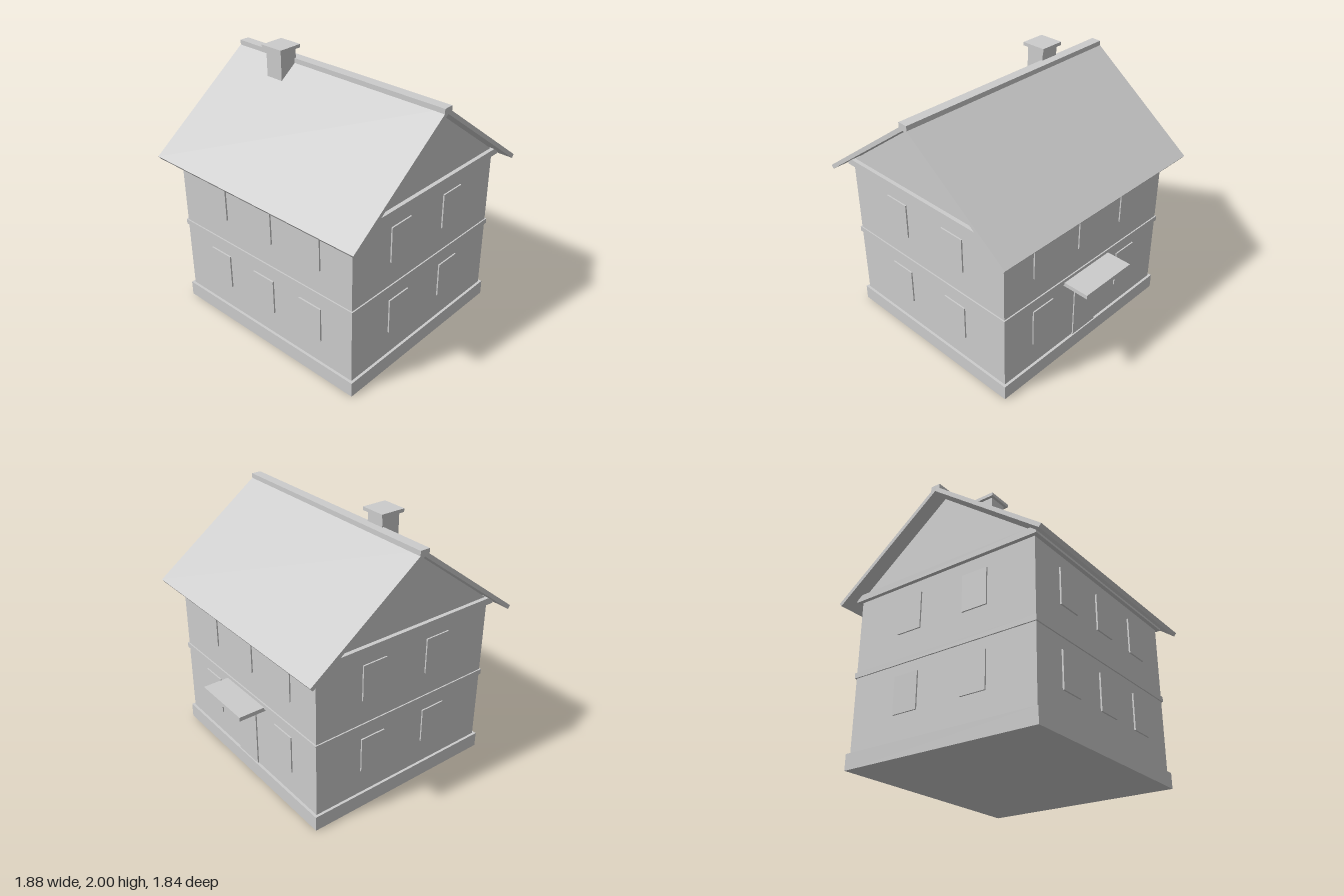
import * as THREE from 'three';

export function createModel() {
  const house = new THREE.Group();
  house.name = 'house';
  const plaster = new THREE.MeshStandardMaterial({ color: 0xcccccc });
  plaster.name = 'light grey';

  const add = (name, geometry) => {
    const mesh = new THREE.Mesh(geometry, plaster);
    mesh.name = name;
    house.add(mesh);
    return mesh;
  };
  // Box given by its limits on each axis
  const box = (name, x0, x1, y0, y1, z0, z1) => {
    const mesh = add(name, new THREE.BoxGeometry(x1 - x0, y1 - y0, z1 - z0));
    mesh.position.set((x0 + x1) / 2, (y0 + y1) / 2, (z0 + z1) / 2);
    return mesh;
  };
  // Outline in [z, y] extruded along x, centred on x = 0
  const prism = (name, points, width) => {
    const shape = new THREE.Shape(points.map(([z, y]) => new THREE.Vector2(-z, y)));
    const geometry = new THREE.ExtrudeGeometry(shape, { depth: width, bevelEnabled: false });
    geometry.translate(0, 0, -width / 2).rotateY(Math.PI / 2);
    return add(name, geometry);
  };

  const midZ = 0.045, wallX = 0.825, wallZ = 0.755;
  const front = midZ + wallZ, back = midZ - wallZ;

  // Walls with the plinth and bands around them
  const ring = (name, out, y0, y1) =>
    box(name, -wallX - out, wallX + out, y0, y1, back - out, front + out);
  ring('plinth', 0.02, 0, 0.115);
  ring('walls', 0, 0.1, 1.28);
  ring('floorBand', 0.01, 0.66, 0.7);
  ring('cornice', 0.03, 1.255, 1.305);

  // Gable prism under the roof
  prism('gable', [[midZ - 0.74, 1.3], [midZ + 0.74, 1.3], [midZ, 1.852]], 2 * wallX);

  // Two roof slabs meeting under the ridge cap
  for (const s of [1, -1]) {
    prism(s > 0 ? 'frontRoof' : 'backRoof', [
      [midZ, 1.854], [midZ + s * 0.86, 1.216], [midZ + s * 0.878, 1.24], [midZ, 1.892],
    ], 1.876);
  }
  box('ridgeCap', -0.938, 0.938, 1.862, 1.9, midZ - 0.038, midZ + 0.038);

  // Chimney
  box('chimney', -0.51, -0.365, 1.65, 1.98, 0.07, 0.215);
  box('chimneyCap', -0.533, -0.343, 1.975, 2, 0.046, 0.236);

  // Windows on both storeys of every wall
  const w = 0.1, proud = 0.01;
  for (const [y, top] of [[0.305, 0.575], [0.888, 1.158]]) {
    for (const x of [-0.452, 0, 0.452]) {
      box('frontWindow', x - w, x + w, y, top, front - 0.01, front + 0.012);
      // The back door replaces the middle window downstairs
      if (x !== 0 || y > 0.5) {
        box('backWindow', x - w, x + w, y, top + 0.024, back - proud, back + 0.01);
      }
    }
    for (const s of [1, -1]) {
      for (const z of [0.327, -0.233]) {
        const x = s * wallX;
        box('sideWindow', x - 0.011, x + 0.011, y, top, z - w, z + w);
      }
    }
  }

  // Back entrance with canopy
  box('door', -0.12, 0.12, 0.1, 0.6, back - proud, back + 0.01);
  box('canopy', -0.24, 0.24, 0.643, 0.674, -0.92, back + 0.01);

  return house;
}
